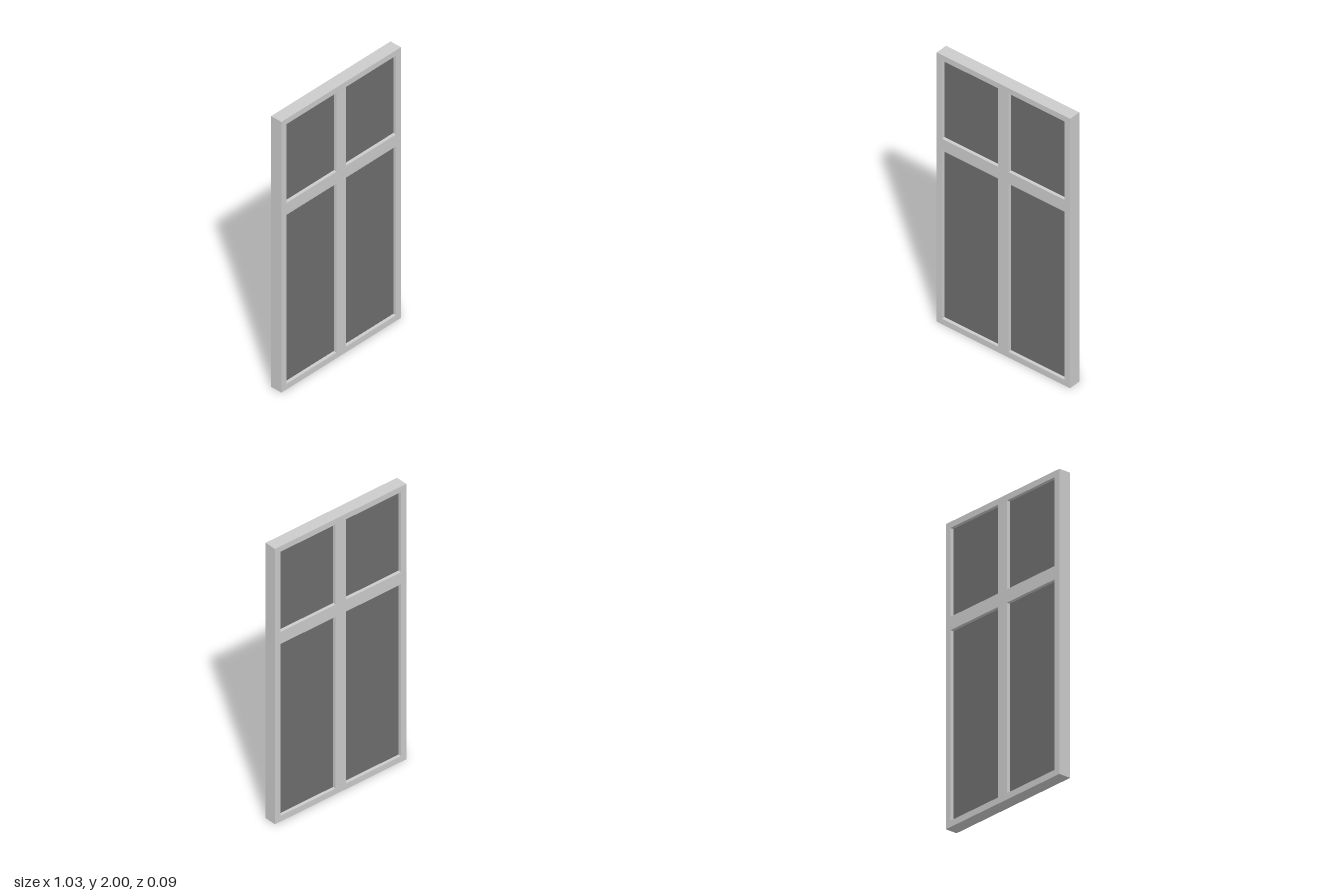
import * as THREE from 'three';

const HALF_W = 0.515, HEIGHT = 2, DEPTH = 0.085, PANE_DEPTH = 0.04;
const INNER = 0.04, OUTER = 0.473; // opening edges, mirrored in x
const ROWS = [
  { name: 'lower', y0: 0.042, y1: 1.29 },
  { name: 'upper', y0: 1.378, y1: 1.96 },
];

// Trace a rectangle into a Shape or Path
function rect(path, x0, y0, x1, y1) {
  path.moveTo(x0, y0);
  path.lineTo(x1, y0);
  path.lineTo(x1, y1);
  path.lineTo(x0, y1);
  path.closePath();
  return path;
}

export function createModel() {
  const group = new THREE.Group();
  group.name = 'window';
  const frameMaterial = new THREE.MeshStandardMaterial({ color: 0xcccccc });
  const paneMaterial = new THREE.MeshStandardMaterial({ color: 0x6e6e6e });

  const outline = rect(new THREE.Shape(), -HALF_W, 0, HALF_W, HEIGHT);
  for (const { name, y0, y1 } of ROWS) {
    for (const side of [-1, 1]) {
      const x0 = side < 0 ? -OUTER : INNER;
      const x1 = side < 0 ? -INNER : OUTER;
      outline.holes.push(rect(new THREE.Path(), x0, y0, x1, y1));

      // Recessed pane filling the opening
      const pane = new THREE.Mesh(new THREE.BoxGeometry(x1 - x0, y1 - y0, PANE_DEPTH), paneMaterial);
      pane.name = `${name}${side < 0 ? 'Right' : 'Left'}Pane`;
      pane.position.set((x0 + x1) / 2, (y0 + y1) / 2, 0);
      group.add(pane);
    }
  }

  // Frame with mullion and crossbar in one piece
  const geometry = new THREE.ExtrudeGeometry(outline, { depth: DEPTH, bevelEnabled: false });
  geometry.translate(0, 0, -DEPTH / 2);
  const frame = new THREE.Mesh(geometry, frameMaterial);
  frame.name = 'frame';
  group.add(frame);
  return group;
}
